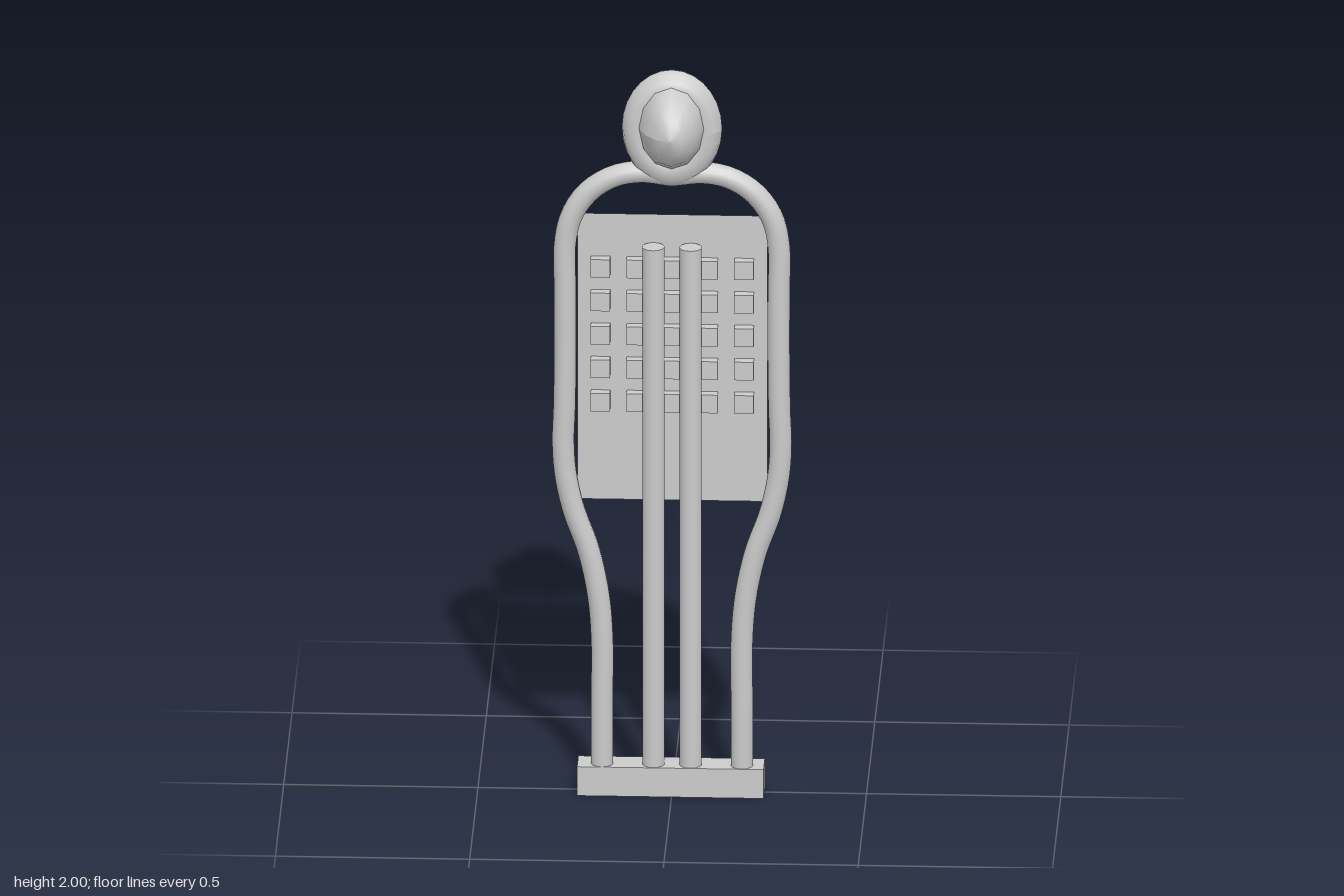
import * as THREE from 'three';

export function createModel() {
  const group = new THREE.Group();
  const mat = new THREE.MeshStandardMaterial({ color: 0xcccccc });
  const thinMat = new THREE.MeshStandardMaterial({ color: 0xcccccc, side: THREE.DoubleSide });
  const R = 0.029; // tube radius
  const Z = 0.015; // plane of the tube frame

  const add = (name, geometry, x, y, z, material = mat) => {
    const mesh = new THREE.Mesh(geometry, material);
    mesh.name = name;
    mesh.position.set(x, y, z);
    group.add(mesh);
    return mesh;
  };

  // Foot block
  add('base', new THREE.BoxGeometry(0.48, 0.08, 0.077), -0.003, 0.04, 0.007);

  // Thin torso panel behind the tubes
  add('panel', new THREE.PlaneGeometry(0.49, 0.79), 0, 1.193, -0.015, thinMat);

  // Five by five grid of studs passing through the panel
  const stud = new THREE.BoxGeometry(0.05, 0.05, 0.05);
  for (let row = -2; row <= 2; row++)
    for (let col = -2; col <= 2; col++)
      add('stud', stud, col * 0.0925, 1.26 + row * 0.0925, -0.014);

  // Pair of straight centre bars
  const bar = new THREE.CylinderGeometry(R, R, 1.45, 14);
  for (const side of [-1, 1]) add('centreBar', bar, side * 0.048, 0.785, Z);

  // Side rails: straight leg, flared hip, straight side, shoulder arch
  const railPoints = [
    [0.18, 0.06], [0.18, 0.25], [0.18, 0.43], [0.19, 0.55], [0.215, 0.67], [0.253, 0.78],
    [0.274, 0.88], [0.28, 0.97], [0.277, 1.06], [0.275, 1.2], [0.275, 1.38], [0.275, 1.52],
    [0.258, 1.595], [0.215, 1.66], [0.15, 1.703], [0.08, 1.717], [0, 1.708],
  ];
  for (const side of [-1, 1]) {
    const path = new THREE.CatmullRomCurve3(
      railPoints.map(([x, y]) => new THREE.Vector3(side * x, y, 0)));
    add('sideRail', new THREE.TubeGeometry(path, 80, R, 14), 0, 0, Z);
  }

  // Head: an egg shape held in an oval ring
  const head = new THREE.SphereGeometry(1, 12, 8);
  head.rotateX(Math.PI / 2);
  head.scale(0.09, 0.12, 0.148);
  head.computeVertexNormals();
  add('head', head, 0, 1.853, 0);

  const ring = new THREE.TorusGeometry(0.089, 0.04, 12, 28);
  ring.scale(1, 1.24, 1);
  ring.computeVertexNormals();
  add('headRing', ring, 0, 1.84, Z);

  return group;
}
